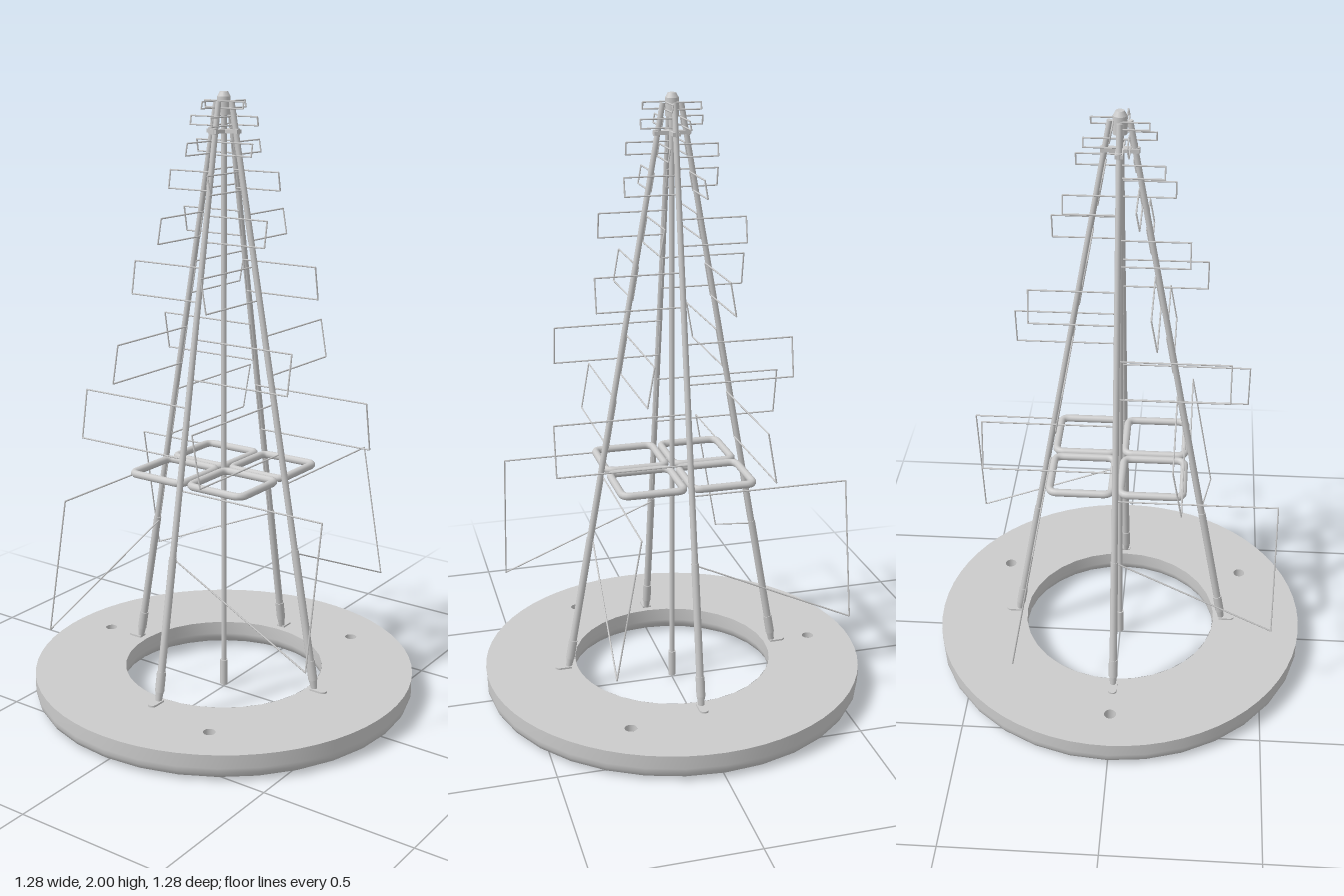
import * as THREE from 'three';

const grey = new THREE.MeshStandardMaterial({ color: 0xcccccc });
const greyBoth = new THREE.MeshStandardMaterial({ color: 0xcccccc, side: THREE.DoubleSide });
const V = (x, y, z) => new THREE.Vector3(x, y, z);

function add(parent, name, geometry, material = grey) {
  const mesh = new THREE.Mesh(geometry, material);
  mesh.name = name;
  parent.add(mesh);
  return mesh;
}

// Round bar between two points
function rod(parent, name, a, b, r, r2 = r, sides = 12) {
  const mesh = add(parent, name, new THREE.CylinderGeometry(r2, r, a.distanceTo(b), sides));
  mesh.position.copy(a).add(b).multiplyScalar(0.5);
  mesh.quaternion.setFromUnitVectors(V(0, 1, 0), b.clone().sub(a).normalize());
  return mesh;
}

// Distance of a leaning leg from the axis at height y
const legOffset = (y) => 0.38 - 0.178 * y;
const onLeg = (y) => V(0, y, legOffset(y));

// Heavy ring with rounded lower edges and three through holes
function makeBase() {
  const base = new THREE.Group();
  base.name = 'base';
  const N = 32, top = 0.09;
  const holes = [[0, -0.5], [-0.43, 0.25], [0.43, 0.25]];
  const face = (outer, inner) => {
    const shape = new THREE.Shape().absarc(0, 0, outer, 0, Math.PI * 2);
    shape.holes.push(new THREE.Path().absarc(0, 0, inner, 0, Math.PI * 2, true));
    for (const [x, z] of holes)
      shape.holes.push(new THREE.Path().absarc(x, -z, 0.02, 0, Math.PI * 2, true));
    return new THREE.ShapeGeometry(shape, N).rotateX(-Math.PI / 2);
  };
  add(base, 'baseTop', face(0.64, 0.335), greyBoth).position.y = top;
  add(base, 'baseBottom', face(0.595, 0.385), greyBoth);
  const wall = (pts) => new THREE.LatheGeometry(pts.map((p) => new THREE.Vector2(...p)), N);
  add(base, 'baseOuterWall', wall([[0.595, 0], [0.615, 0.004], [0.631, 0.014], [0.639, 0.03], [0.64, 0.045], [0.64, top]]), greyBoth);
  add(base, 'baseInnerWall', wall([[0.335, top], [0.335, 0.045], [0.338, 0.03], [0.348, 0.014], [0.364, 0.004], [0.385, 0]]), greyBoth);
  for (const [x, z] of holes)
    add(base, 'baseHole', new THREE.CylinderGeometry(0.02, 0.02, top, N, 1, true), greyBoth).position.set(x, top / 2, z);
  return base;
}

// Leaning leg with thicker lower tube, sleeve and flat foot tab
function makeLeg() {
  const leg = new THREE.Group();
  leg.name = 'leg';
  rod(leg, 'lowerTube', onLeg(0.12), onLeg(0.56), 0.0125);
  rod(leg, 'upperTube', onLeg(0.56), onLeg(1.97), 0.0105, 0.009);
  rod(leg, 'footSleeve', onLeg(0.125), onLeg(0.19), 0.015);
  rod(leg, 'footBend', V(0, 0.094, 0.363), onLeg(0.13), 0.01, 0.014);
  const tab = new THREE.Shape();
  tab.moveTo(-0.015, 0.355).lineTo(0.015, 0.355).lineTo(0.015, 0.395)
    .absarc(0, 0.395, 0.015, 0, Math.PI).lineTo(-0.015, 0.355);
  const foot = add(leg, 'footTab', new THREE.ExtrudeGeometry(tab, { depth: 0.006, bevelEnabled: false, curveSegments: 8 }).rotateX(Math.PI / 2));
  foot.position.y = 0.097;
  // Arm and bolt tying the leg to the pole near the tip
  const arm = add(leg, 'tipArm', new THREE.BoxGeometry(0.024, 0.012, 0.058));
  arm.position.set(0, 1.88, 0.029);
  add(leg, 'tipBolt', new THREE.CylinderGeometry(0.009, 0.009, 0.018, 12)).position.set(0, 1.88, 0.05);
  return leg;
}

// Tiers of wire panels: [bottom, top, reach]; sides alternate upward
const tiers = [
  [0.32, 0.77, 0.522], [0.87, 1.03, 0.425], [1.12, 1.245, 0.354],
  [1.36, 1.465, 0.273], [1.545, 1.625, 0.217], [1.7, 1.757, 0.166],
  [1.81, 1.848, 0.135], [1.898, 1.925, 0.106], [1.95, 1.971, 0.087],
];

function makePanel([bottom, top, reach], i) {
  const panel = new THREE.Group();
  panel.name = 'wirePanel';
  const x = i % 2 ? -reach : reach;
  const innerBottom = i === 0 ? 0.55 : bottom; // lowest panel has a sloping lower edge
  const at = (px, y) => V(px, y, Math.max(legOffset(y) - 0.01, 0.015));
  const corners = [at(0, top), at(x, top), at(x, bottom), at(0, innerBottom)];
  corners.forEach((c, k) => {
    rod(panel, 'wire', c, corners[(k + 1) % 4], 0.0026, 0.0026, 6);
    add(panel, 'wireCorner', new THREE.SphereGeometry(0.0026, 6, 4)).position.copy(c);
  });
  return panel;
}

// One rounded square tube loop, a quarter of the shelf
function makeShelfLoop() {
  const lo = 0.0145, hi = 0.216, c = 0.028;
  const path = new THREE.CurvePath();
  const ring = [[lo, lo], [hi, lo], [hi, hi], [lo, hi]].map((p) => V(p[0], 0, p[1]));
  ring.forEach((p, k) => {
    const toPrev = ring[(k + 3) % 4].clone().sub(p).setLength(c);
    const next = ring[(k + 1) % 4];
    const toNext = next.clone().sub(p).setLength(c);
    const end = p.clone().add(toNext);
    path.add(new THREE.QuadraticBezierCurve3(p.clone().add(toPrev), p, end));
    path.add(new THREE.LineCurve3(end, next.clone().sub(toNext)));
  });
  return new THREE.TubeGeometry(path, 96, 0.0125, 10, true);
}

export function createModel() {
  const model = new THREE.Group();
  model.name = 'wireTree';
  model.add(makeBase());

  // Central pole with end sleeve and top cap
  rod(model, 'centrePole', V(0, 0.02, 0), V(0, 1.98, 0), 0.009);
  rod(model, 'poleSleeve', V(0, 0.01, 0), V(0, 0.1, 0), 0.013);
  rod(model, 'topCap', V(0, 1.93, 0), V(0, 1.985, 0), 0.022, 0.021, 16);
  rod(model, 'topCapCrown', V(0, 1.985, 0), V(0, 2, 0), 0.021, 0.013, 16);

  // Four identical sides
  const loop = makeShelfLoop();
  for (let k = 0; k < 4; k++) {
    const side = new THREE.Group();
    side.name = 'side';
    side.rotation.y = (k * Math.PI) / 2;
    side.add(makeLeg(), ...tiers.map(makePanel));
    add(side, 'shelfLoop', loop).position.y = 0.785;
    model.add(side);
  }
  return model;
}
